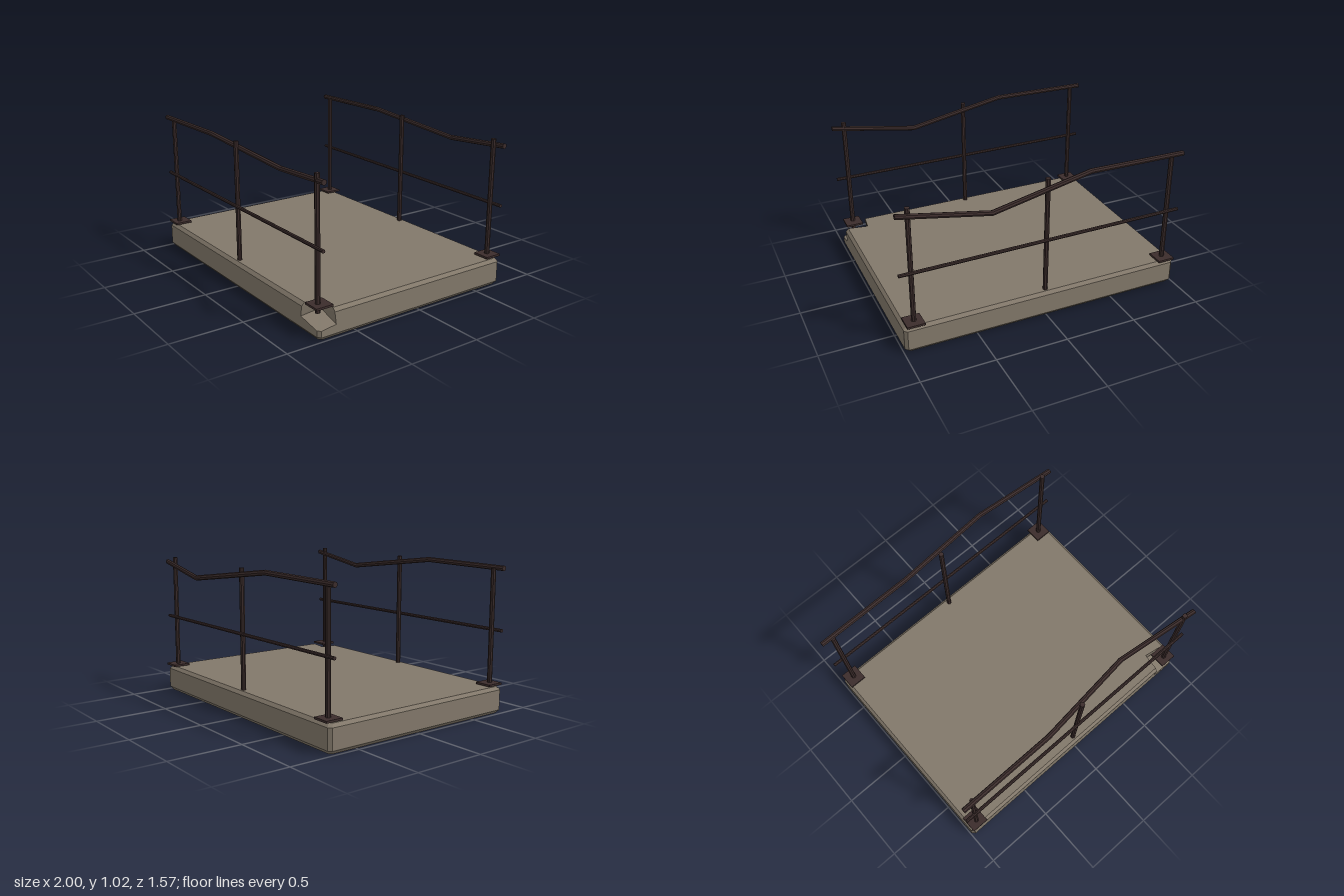
import * as THREE from 'three';

const concrete = new THREE.MeshStandardMaterial({ color: 0x82786a });
concrete.name = 'concrete';
const metal = new THREE.MeshStandardMaterial({ color: 0x3b2c2b });
metal.name = 'dark metal';

const MID_Z = 0.03; // centre line of the platform

function faceted(geometry) {
  const g = geometry.index ? geometry.toNonIndexed() : geometry;
  g.computeVertexNormals();
  return g;
}

function add(parent, name, geometry, material) {
  const mesh = new THREE.Mesh(geometry, material);
  mesh.name = name;
  parent.add(mesh);
  return mesh;
}

// Bevelled slab lofted from stacked outlines; one front corner is broken away
function slabGeometry() {
  const x = 0.993, z0 = -0.715, z1 = 0.775, b = 0.02;
  // Outline runs front left, back left, back right, then the three-sided corner
  const ring = (y, inset, corner) => {
    const X = x - inset, A = z0 + inset, B = z1 - inset;
    return [
      [-X + b, y, B], [-X, y, B - b], [-X, y, A + b], [-X + b, y, A],
      [X - b, y, A], [X, y, A + b],
      ...(corner || [[X, y, 0.65], [X, y, B - b], [X - b, y, B], [0.803, y, B]]),
    ];
  };
  const inner = [0.815, 0.117, 0.638];
  const rings = [
    ring(0, b),
    ring(0.025, 0),
    ring(0.09, 0, [[x, 0.083, 0.65], [x, 0.067, z1 - b], [x - b, 0.067, z1], [0.803, 0.097, z1]]),
    ring(0.09, 0, [[x, 0.083, 0.65], inner, inner, [0.803, 0.097, z1]]),
    ring(0.165, 0, [[x, 0.165, 0.66], [0.828, 0.165, 0.635], [0.828, 0.165, 0.635], [0.814, 0.165, z1]]),
    ring(0.187, b, [[x - b, 0.187, 0.66], [0.83, 0.187, 0.635], [0.83, 0.187, 0.635], [0.816, 0.187, z1 - b]]),
  ];
  const n = rings[0].length, last = rings.length - 1, out = [];
  const tri = (...points) => points.forEach((p) => out.push(...p));
  for (let i = 0; i < n; i++) {
    const j = (i + 1) % n;
    for (let k = 0; k < last; k++) {
      const lo = rings[k], hi = rings[k + 1];
      tri(lo[i], hi[i], lo[j]);
      tri(lo[j], hi[i], hi[j]);
    }
    // caps fan out from the inner corner
    tri(rings[0][7], rings[0][i], rings[0][j]);
    tri(rings[last][7], rings[last][j], rings[last][i]);
  }
  const g = new THREE.BufferGeometry();
  g.setAttribute('position', new THREE.Float32BufferAttribute(out, 3));
  return faceted(g);
}

// Bar along x whose rings follow a list of [x, y, z] points
function barGeometry(points, radius) {
  const spans = points.length - 1;
  const g = new THREE.CylinderGeometry(radius, radius, spans, 8, spans);
  g.rotateZ(-Math.PI / 2);
  const p = g.attributes.position;
  for (let i = 0; i < p.count; i++) {
    const [x, y, z] = points[Math.round(p.getX(i) + spans / 2)];
    p.setXYZ(i, x, y + p.getY(i), z + p.getZ(i));
  }
  return faceted(g);
}

// side is 1 for the front railing and -1 for the back one
function makeRailing(side) {
  const railing = new THREE.Group();
  railing.name = side > 0 ? 'frontRailing' : 'backRailing';
  const postZ = MID_Z + side * 0.7;

  // Upright posts: [name, x, top]
  const posts = [['rightPost', -0.92, 0.99], ['middlePost', -0.003, 1.006], ['leftPost', 0.916, 1.006]];
  for (const [name, x, top] of posts) {
    const bottom = 0.15;
    const post = add(railing, name,
      faceted(new THREE.CylinderGeometry(0.017, 0.017, top - bottom, 8)), metal);
    post.position.set(x, (top + bottom) / 2, postZ);
  }

  // Square base plates at the end posts
  for (const x of [-0.923, 0.918]) {
    const plate = add(railing, 'basePlate', new THREE.BoxGeometry(0.12, 0.014, 0.12), metal);
    plate.position.set(x, 0.202, postZ - 0.005 + (side < 0 ? 0.005 : -0.005));
  }

  // Handrail, bent out of line
  const railZ = MID_Z + side * 0.713;
  add(railing, 'handrail', barGeometry([
    [-1, 0.993, railZ], [-0.3, 1.0, railZ],
    [0.42, 0.906, railZ - 0.086], [1, 0.97, railZ - 0.003],
  ], 0.018), metal);

  // Thin middle rail
  const midZ = MID_Z + side * 0.715;
  add(railing, 'middleRail', barGeometry([[-1, 0.574, midZ], [1, 0.564, midZ]], 0.012), metal);
  return railing;
}

export function createModel() {
  const model = new THREE.Group();
  model.name = 'walkway';
  add(model, 'slab', slabGeometry(), concrete);
  model.add(makeRailing(1), makeRailing(-1));
  return model;
}
